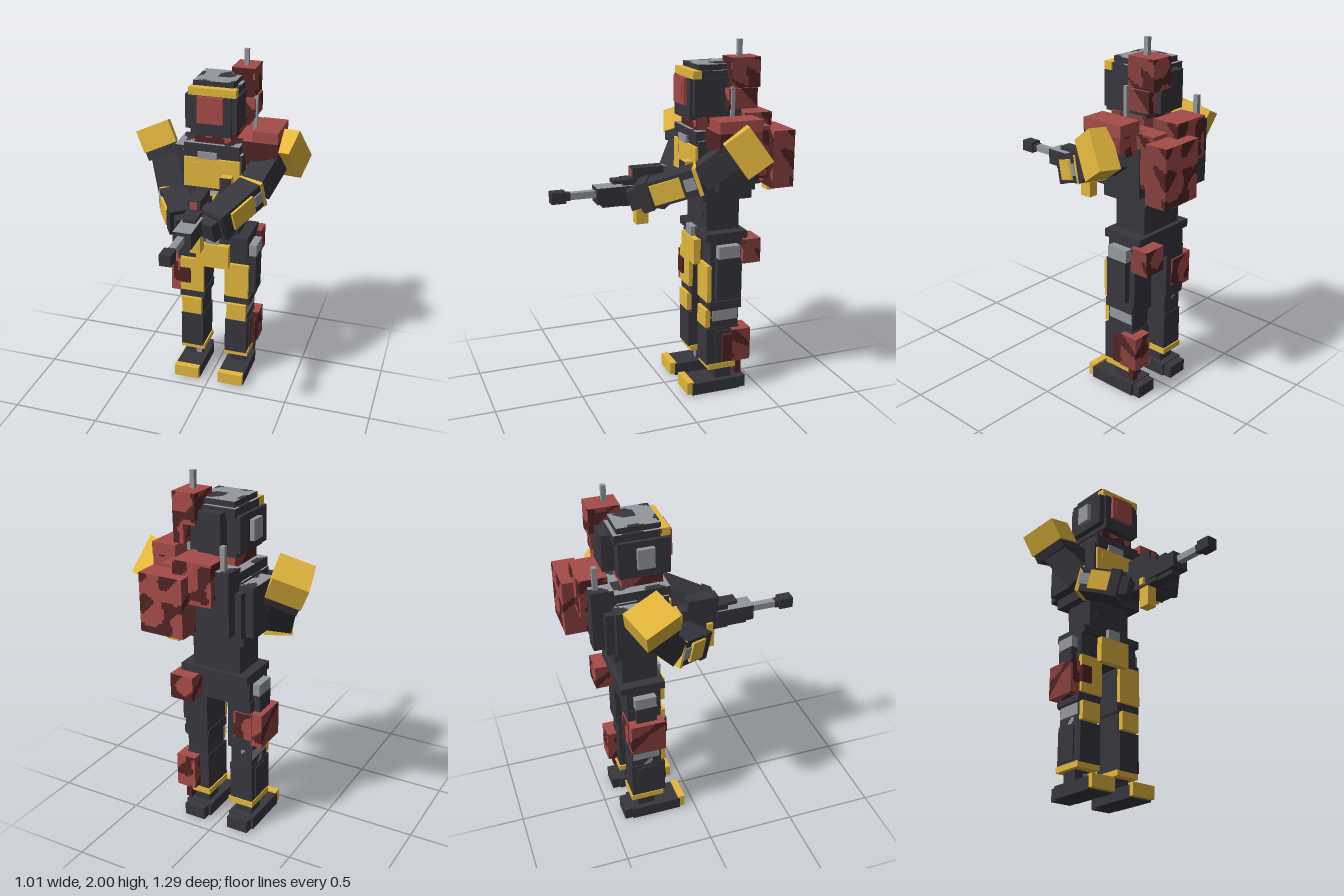
import * as THREE from 'three';

const mat = (name, color) => {
  const m = new THREE.MeshStandardMaterial({ color });
  m.name = name;
  return m;
};
const DARK = mat('charcoal', 0x37363d);
const YELLOW = mat('yellow', 0xe4b83d);
const RED = mat('rust red', 0xa54c49);
const BRICK = mat('brick red', 0x86403d);
const MAROON = mat('maroon', 0x512424);
const GREY = mat('steel grey', 0x94979e);

export function createModel() {
  const model = new THREE.Group();
  model.name = 'armouredSoldier';

  // Box from its limits: [x0, x1, y0, y1, z0, z1]
  function box(name, material, [x0, x1, y0, y1, z0, z1], geometry) {
    const geo = geometry || new THREE.BoxGeometry(x1 - x0, y1 - y0, z1 - z0);
    const mesh = new THREE.Mesh(geo, material);
    mesh.position.set((x0 + x1) / 2, (y0 + y1) / 2, (z0 + z1) / 2);
    mesh.name = name;
    model.add(mesh);
    return mesh;
  }

  // Mottled box: small cells are sorted into colour groups by a wave rule.
  // colours are [main, spots, left and right sides]; bias is the share of
  // spots for [top, bottom, front, other sides]
  function camo(name, colours, b, bias) {
    const [x0, x1, y0, y1, z0, z1] = b;
    const n = (d) => Math.max(1, Math.round(d / 0.012));
    const geo = new THREE.BoxGeometry(x1 - x0, y1 - y0, z1 - z0, n(x1 - x0), n(y1 - y0), n(z1 - z0));
    const p = geo.attributes.position, nor = geo.attributes.normal, idx = geo.index.array;
    const lists = [[], [], []];
    for (let i = 0; i < idx.length; i += 6) {
      const a = idx[i + 1], c = idx[i + 5];
      const x = (p.getX(a) + p.getX(c) + x0 + x1) / 2;
      const y = (p.getY(a) + p.getY(c) + y0 + y1) / 2;
      const z = (p.getZ(a) + p.getZ(c) + z0 + z1) / 2;
      const wave = Math.sin(x * 43 + z * 21) + Math.sin(y * 45 - z * 37 + 1) + Math.sin((x + y) * 31 - z * 17);
      const nx = nor.getX(a), ny = nor.getY(a), nz = nor.getZ(a);
      const k = ny > 0.5 ? 0 : ny < -0.5 ? 1 : nz > 0.5 ? 2 : 3;
      const group = wave < bias[k] * 6 - 3 ? 1 : Math.abs(nx) > 0.5 ? 2 : 0;
      lists[group].push(...idx.slice(i, i + 6));
    }
    geo.setIndex(lists.flat());
    geo.clearGroups();
    let start = 0;
    lists.forEach((list, i) => {
      geo.addGroup(start, list.length, i);
      start += list.length;
    });
    return box(name, colours, b, geo);
  }
  const STEEL = [DARK, GREY, DARK], RUST = [RED, MAROON, BRICK];
  const steel = (name, b) => camo(name, STEEL, b, [0.6, 0, 0, 0.06]);
  const rust = (name, b) => camo(name, RUST, b, [0, 0.6, 0.7, 0.43]);

  // Box turned so its local x and z follow two direction vectors
  function turned(name, material, centre, u, w, size, shift = [0, 0, 0]) {
    const X = new THREE.Vector3(...u).normalize();
    const Y = new THREE.Vector3(...w).cross(X).normalize();
    const Z = new THREE.Vector3().crossVectors(X, Y);
    const mesh = new THREE.Mesh(new THREE.BoxGeometry(...size), material);
    mesh.quaternion.setFromRotationMatrix(new THREE.Matrix4().makeBasis(X, Y, Z));
    mesh.position.set(...centre);
    mesh.position.add(new THREE.Vector3(...shift).applyQuaternion(mesh.quaternion));
    mesh.name = name;
    model.add(mesh);
  }

  // Head and helmet
  steel('helmetTop', [-0.11, 0.115, 1.78, 1.87, -0.38, -0.15]);
  box('helmet', DARK, [-0.145, 0.145, 1.61, 1.8, -0.385, -0.115]);
  steel('helmetUpper', [-0.125, 0.135, 1.79, 1.84, -0.4, -0.15]);
  box('helmetBack', DARK, [-0.07, 0.1, 1.62, 1.82, -0.45, -0.38]);
  box('jaw', DARK, [-0.11, 0.115, 1.58, 1.8, -0.37, -0.1]);
  box('brow', YELLOW, [-0.125, 0.14, 1.8, 1.842, -0.158, -0.108]);
  box('visor', RED, [-0.07, 0.075, 1.655, 1.8, -0.12, -0.08]);
  box('visorLens', RED, [-0.045, 0.05, 1.68, 1.775, -0.081, -0.076]);
  box('earPlate', GREY, [-0.17, -0.14, 1.655, 1.765, -0.29, -0.2]);
  rust('earUnit', [0.14, 0.2, 1.64, 1.75, -0.455, -0.29]);
  box('earRod', GREY, [0.19, 0.21, 1.56, 1.76, -0.32, -0.3]);
  rust('antennaBox', [0.058, 0.188, 1.75, 1.91, -0.475, -0.31]);
  box('antenna', GREY, [0.112, 0.137, 1.9, 2, -0.39, -0.365]);
  rust('neck', [-0.1, 0.12, 1.5, 1.59, -0.36, -0.14]);

  // Torso
  steel('collar', [-0.155, 0.16, 1.46, 1.525, -0.42, -0.12]);
  box('collarClasp', GREY, [-0.075, 0.035, 1.44, 1.48, -0.13, -0.11]);
  steel('chest', [-0.165, 0.175, 1.2, 1.475, -0.41, -0.13]);
  steel('shoulders', [-0.245, 0.24, 1.2, 1.465, -0.435, -0.22]);
  box('ribs', DARK, [-0.19, 0.19, 1.14, 1.3, -0.44, -0.15]);
  box('chestPlate', YELLOW, [-0.155, 0.165, 1.27, 1.44, -0.135, -0.115]);
  box('chestBadge', YELLOW, [-0.12, -0.075, 1.37, 1.415, -0.116, -0.108]);
  box('chestPouch', YELLOW, [0.068, 0.13, 1.265, 1.36, -0.12, -0.066]);
  box('chestPouchFace', DARK, [0.068, 0.13, 1.265, 1.36, -0.067, -0.059]);
  box('waist', DARK, [-0.14, 0.14, 0.94, 1.18, -0.39, -0.195]);
  box('waistPlate', DARK, [-0.1, 0.11, 1.03, 1.06, -0.2, -0.185]);
  box('belt', DARK, [-0.195, 0.205, 0.912, 0.956, -0.415, -0.17]);
  box('buckle', GREY, [-0.04, 0.04, 0.905, 0.96, -0.18, -0.145]);
  box('pelvis', DARK, [-0.195, 0.2, 0.77, 0.92, -0.385, -0.195]);
  box('groinPlate', YELLOW, [-0.095, 0.1, 0.755, 0.9, -0.18, -0.14]);
  box('groinBacking', DARK, [-0.08, 0.085, 0.77, 0.92, -0.2, -0.175]);

  // Hip and leg gear
  box('leftHipPouch', GREY, [0.19, 0.245, 0.82, 0.89, -0.355, -0.23]);
  box('leftThighGuard', DARK, [0.19, 0.245, 0.58, 0.82, -0.35, -0.22]);
  box('rightHipPouch', GREY, [-0.235, -0.185, 0.83, 0.895, -0.35, -0.23]);
  box('rightHipGuard', DARK, [-0.235, -0.185, 0.72, 0.83, -0.345, -0.23]);
  rust('hipBox', [0.095, 0.232, 0.775, 0.915, -0.485, -0.38]);
  camo('thighBox', RUST, [-0.265, -0.2, 0.545, 0.735, -0.385, -0.19], [0, 0.6, 0.35, 0.43]);
  rust('thighBoxBack', [-0.21, -0.1, 0.575, 0.73, -0.392, -0.37]);
  box('thighBoxClip', MAROON, [-0.205, -0.14, 0.615, 0.71, -0.21, -0.165]);
  rust('shinBox', [0.13, 0.245, 0.195, 0.388, -0.43, -0.32]);
  box('shinBoxFront', MAROON, [0.19, 0.242, 0.2, 0.36, -0.325, -0.265]);
  box('shinBoxPeg', MAROON, [0.18, 0.215, 0.1, 0.2, -0.39, -0.355]);

  // Legs, mirrored about the body's middle
  for (const side of [-1, 1]) {
    const part = side > 0 ? 'left' : 'right';
    const limb = (name, material, inner, outer, ...rest) => {
      const xs = [side * inner + 0.004, side * outer + 0.004].sort((a, b) => a - b);
      const b = [...xs, ...rest];
      return material ? box(part + name, material, b) : steel(part + name, b);
    };
    limb('Thigh', DARK, 0.065, 0.205, 0.505, 0.8, -0.385, -0.195);
    limb('ThighPlate', YELLOW, 0.065, 0.208, 0.56, 0.775, -0.2, -0.175);
    limb('ThighCuff', DARK, 0.06, 0.215, 0.51, 0.56, -0.38, -0.19);
    limb('Knee', null, 0.075, 0.2, 0.385, 0.515, -0.37, -0.2);
    limb('KneeSide', GREY, 0.17, 0.203, 0.44, 0.505, -0.365, -0.21);
    limb('KneePad', YELLOW, 0.08, 0.198, 0.405, 0.51, -0.21, -0.17);
    limb('Shin', DARK, 0.07, 0.205, 0.175, 0.395, -0.375, -0.178);
    limb('ShinSide', DARK, 0.1, 0.213, 0.19, 0.38, -0.34, -0.23);
    limb('AnkleBand', YELLOW, 0.062, 0.21, 0.145, 0.178, -0.382, -0.19);
    limb('Ankle', DARK, 0.09, 0.185, 0.07, 0.15, -0.34, -0.24);
    limb('Boot', DARK, 0.06, 0.215, 0.004, 0.075, -0.38, -0.09);
    limb('BootHeel', DARK, 0.075, 0.2, 0, 0.07, -0.425, -0.37);
    limb('BootToe', YELLOW, 0.062, 0.213, 0.013, 0.085, -0.1, -0.06);
  }
  box('ankleClip', GREY, [-0.125, -0.09, 0.085, 0.13, -0.245, -0.235]);

  // Backpack
  rust('packRearPlate', [0.04, 0.29, 1.21, 1.525, -0.642, -0.515]);
  rust('packMiddle', [-0.09, 0.13, 1.38, 1.6, -0.58, -0.43]);
  box('packCore', DARK, [-0.08, 0.13, 1.2, 1.4, -0.52, -0.41]);
  rust('packSide', [0.12, 0.235, 1.26, 1.545, -0.52, -0.21]);
  box('shoulderBoxLid', RED, [0.22, 0.36, 1.545, 1.608, -0.415, -0.17]);
  camo('shoulderBox', RUST, [0.16, 0.36, 1.435, 1.546, -0.41, -0.172], [0, 0.6, 1, 0.43]);
  steel('packLeftCase', [-0.165, -0.08, 1.22, 1.56, -0.54, -0.42]);
  box('packRod', GREY, [-0.132, -0.106, 1.55, 1.685, -0.518, -0.492]);
  box('packTab', YELLOW, [0.1, 0.17, 1.17, 1.212, -0.585, -0.545]);
  box('backPlate', DARK, [-0.2, 0.15, 1.2, 1.44, -0.48, -0.41]);

  // Arms: upper arm, elbow band and clip, forearm, forearm plate and glove
  function arm(part, shoulder, elbow, wrist, out) {
    const at = (a, b, t) => a.map((v, i) => v + (b[i] - v) * t);
    const upper = elbow.map((v, i) => v - shoulder[i]);
    const fore = wrist.map((v, i) => v - elbow[i]);
    const lu = Math.hypot(...upper), lf = Math.hypot(...fore);
    const side = [out, 0, 0.4];
    turned(part + 'UpperArm', DARK, at(shoulder, elbow, 0.48), upper, side, [lu, 0.14, 0.14]);
    turned(part + 'ElbowBand', YELLOW, at(elbow, wrist, 0.01), fore, side, [0.022, 0.152, 0.152]);
    turned(part + 'ElbowClip', GREY, at(elbow, wrist, 0.13), fore, side, [0.06, 0.065, 0.02], [0, 0, 0.07]);
    turned(part + 'Forearm', DARK, at(elbow, wrist, 0.45), fore, side, [lf * 0.95, 0.145, 0.145]);
    turned(part + 'ForearmPlate', YELLOW, at(elbow, wrist, 0.48), fore, side, [lf * 0.46, 0.11, 0.03], [0, 0, 0.072]);
    turned(part + 'Cuff', DARK, at(elbow, wrist, 0.82), fore, side, [0.06, 0.16, 0.16]);
    turned(part + 'Glove', DARK, at(elbow, wrist, 0.97), fore, side, [0.08, 0.11, 0.11]);
  }
  arm('left', [0.33, 1.46, -0.29], [0.25, 1.295, -0.105], [0.09, 1.18, 0.2], 1);
  arm('right', [-0.35, 1.43, -0.295], [-0.235, 1.185, -0.14], [-0.095, 1.12, 0.06], -1);

  // Shoulder pads with a dark underlay
  const pads = [
    ['right', [-0.372, 1.477, -0.285], [0.165, 0.065, -0.07], [0.07, 0.07, 0.19], [0.19, 0.13, 0.21]],
    ['left', [0.405, 1.455, -0.305], [0.05, -0.18, -0.12], [-0.04, -0.05, 0.145], [0.22, 0.12, 0.16]],
  ];
  for (const [part, c, u, w, s] of pads) {
    turned(part + 'ShoulderPad', YELLOW, c, u, w, s);
    turned(part + 'ShoulderUnderlay', DARK, c, u, w, [s[0] * 0.92, 0.06, s[2] * 0.92], [0, -s[1] / 2 - 0.02, 0]);
  }

  // Rifle
  box('muzzle', DARK, [-0.03, 0.032, 1.165, 1.227, 0.565, 0.645]);
  box('muzzleCollar', DARK, [-0.02, 0.02, 1.175, 1.217, 0.54, 0.57]);
  box('barrel', GREY, [-0.018, 0.02, 1.178, 1.215, 0.38, 0.55]);
  camo('handguard', STEEL, [-0.045, 0.055, 1.145, 1.235, 0.19, 0.4], [1, 0, 0, 0]);
  box('foregrip', DARK, [-0.025, 0.03, 1.12, 1.15, 0.24, 0.365]);
  box('topRail', DARK, [-0.02, 0.05, 1.25, 1.27, 0.18, 0.31]);
  box('receiver', DARK, [-0.035, 0.04, 1.12, 1.27, -0.02, 0.25]);
  box('scope', DARK, [-0.035, 0.038, 1.265, 1.325, 0.02, 0.195]);
  box('scopeLens', RED, [-0.02, 0.022, 1.275, 1.318, 0.19, 0.199]);
  box('magazine', YELLOW, [-0.03, 0.03, 1.005, 1.13, 0.105, 0.175]);
  box('magazineCatch', YELLOW, [-0.05, -0.03, 1.13, 1.17, 0.125, 0.16]);
  box('stockBand', YELLOW, [-0.042, 0.05, 1.15, 1.26, -0.055, -0.015]);
  box('stock', GREY, [-0.028, 0.043, 1.16, 1.25, -0.13, -0.05]);

  return model;
}
